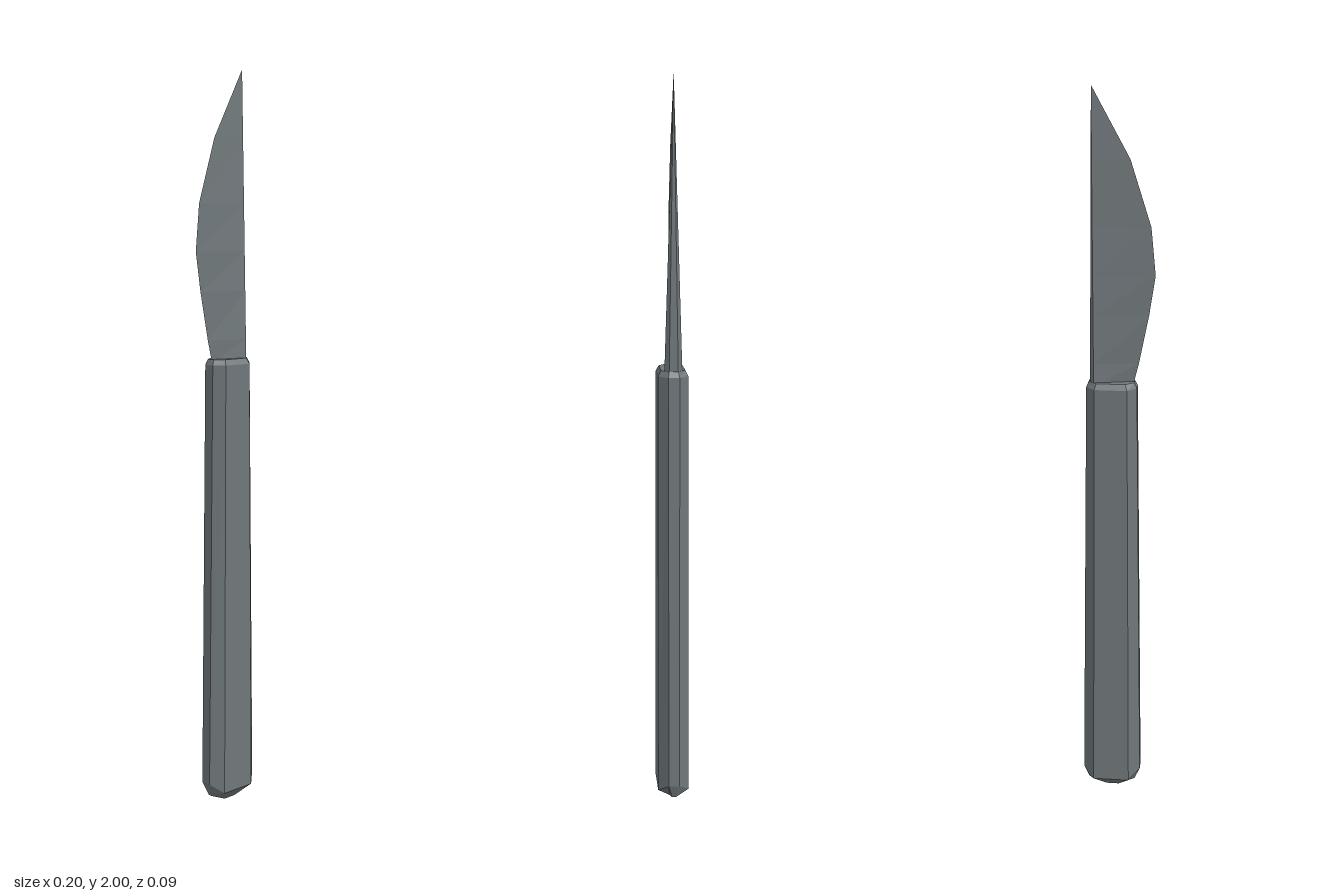
import * as THREE from 'three';

// Skin a stack of equal-length rings (bottom to top, counter-clockwise from above) with flat facets.
function loft(rings) {
  const pos = [];
  const tri = (a, b, c) => {
    const area = new THREE.Vector3().crossVectors(b.clone().sub(a), c.clone().sub(a)).length();
    if (area > 1e-9) for (const p of [a, b, c]) pos.push(p.x, p.y, p.z);
  };
  const n = rings[0].length;
  for (let i = 0; i < rings.length - 1; i++) {
    for (let j = 0; j < n; j++) {
      const k = (j + 1) % n;
      tri(rings[i][j], rings[i][k], rings[i + 1][k]);
      tri(rings[i][j], rings[i + 1][k], rings[i + 1][j]);
    }
  }
  // end caps
  const bottom = rings[0], top = rings[rings.length - 1];
  for (let j = 1; j < n - 1; j++) {
    tri(bottom[0], bottom[j + 1], bottom[j]);
    tri(top[0], top[j], top[j + 1]);
  }
  const geometry = new THREE.BufferGeometry();
  geometry.setAttribute('position', new THREE.Float32BufferAttribute(pos, 3));
  geometry.computeVertexNormals();
  return geometry;
}

const v = (x, y, z) => new THREE.Vector3(x, y, z);

// Long octagon: narrow ends at xMin/xMax, broad sides from x1 to x2.
function octagon(yEnd, ySide, xMin, x1, x2, xMax, zEnd, zSide) {
  return [
    v(xMax, yEnd, zEnd), v(xMax, yEnd, -zEnd),
    v(x2, ySide, -zSide), v(x1, ySide, -zSide),
    v(xMin, yEnd, -zEnd), v(xMin, yEnd, zEnd),
    v(x1, ySide, zSide), v(x2, ySide, zSide),
  ];
}

export function createModel() {
  const group = new THREE.Group();
  const steel = new THREE.MeshStandardMaterial({ color: 0x6f777a });
  steel.name = 'grey steel';

  // Faceted handle with a rounded butt and a small bevel at the collar
  const handle = new THREE.Mesh(loft([
    octagon(0.02, 0, -0.052, -0.005, 0.03, 0.082, 0.006, 0.009),
    octagon(0.06, 0.035, -0.068, -0.037, 0.065, 0.096, 0.015, 0.043),
    octagon(1.225, 1.225, -0.054, -0.03, 0.057, 0.081, 0.015, 0.04),
    octagon(1.24, 1.24, -0.047, -0.025, 0.052, 0.074, 0.012, 0.032),
  ]), steel);
  handle.name = 'handle';
  group.add(handle);

  // Wedge blade: [height, cutting edge x], thinning to the tip
  const edge = [
    [1.23, -0.043], [1.29, -0.058], [1.42, -0.084], [1.525, -0.1],
    [1.65, -0.088], [1.82, -0.034], [2, 0.065],
  ];
  const blade = new THREE.Mesh(loft(edge.map(([y, x]) => {
    const k = (2 - y) / 0.77;
    const t = 0.024 * k, spine = 0.065 + 0.006 * k, crease = 0.065 - 0.005 * k;
    return [
      v(spine, y, t * 0.5), v(spine, y, -t * 0.5),
      v(crease, y, -t), v(x, y, 0), v(crease, y, t),
    ];
  })), steel);
  blade.name = 'blade';
  group.add(blade);

  return group;
}
